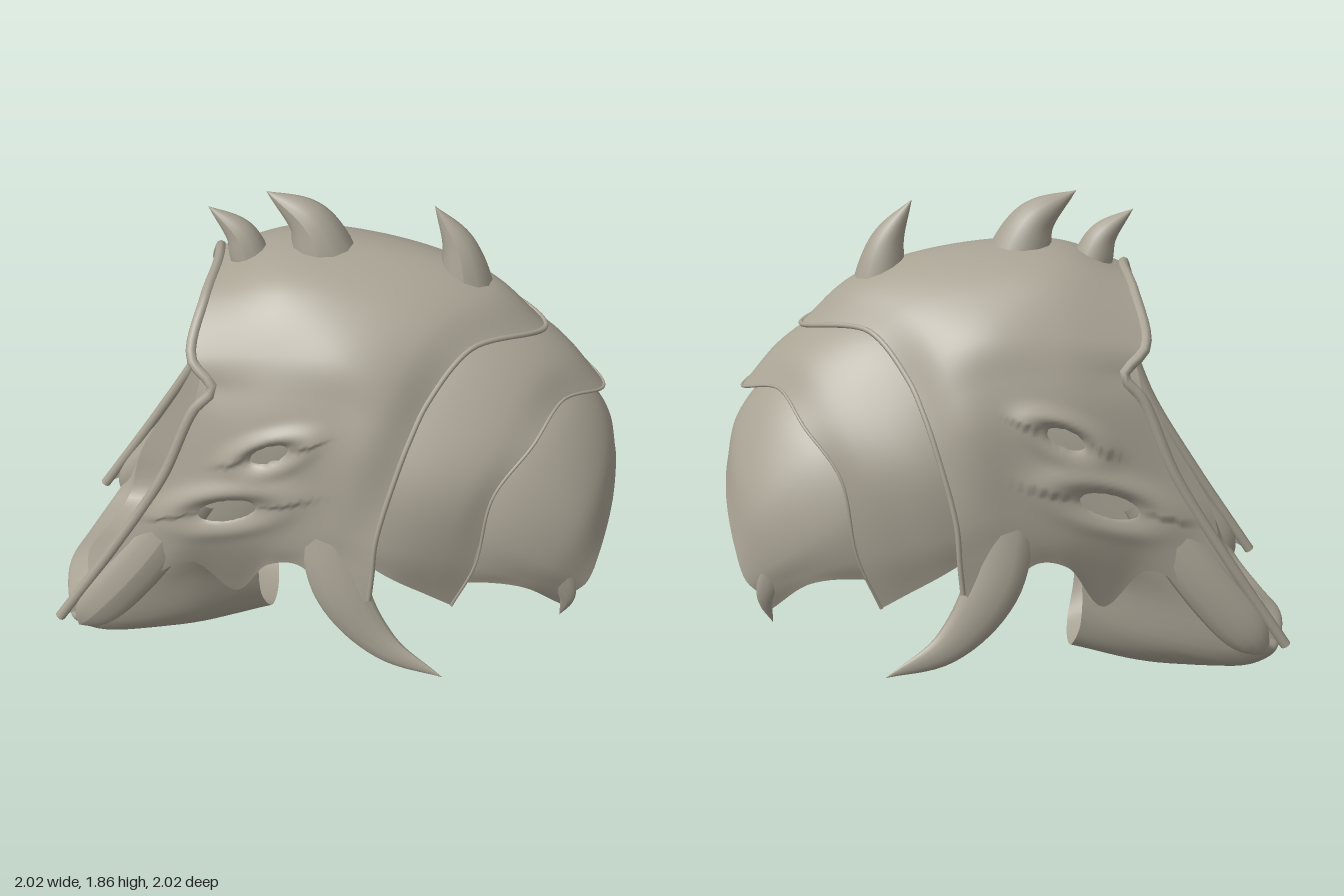
import * as THREE from 'three';

const material = new THREE.MeshStandardMaterial({ color: 0xa9a394, side: THREE.DoubleSide });
const V = (p) => new THREE.Vector3(...p);
const flip = ([x, y, z]) => [-x, y, z];
// Half outline, starting on the centre line, completed by mirroring
const mirrored = (half) => [...half.slice(1).reverse().map(flip), ...half];

function add(group, name, geometry) {
  const mesh = new THREE.Mesh(geometry, material);
  mesh.name = name;
  group.add(mesh);
}

// Symmetric skin over lengthwise curves (centre line first); holes are ellipses in side view
function loft(half, nu, nv, holes = []) {
  const lines = [...half.slice(1).reverse().map((c) => c.map(flip)), ...half]
    .map((c) => new THREE.CatmullRomCurve3(c.map(V)));
  const pos = [], index = [], inside = [];
  for (let j = 0; j <= nv; j++) {
    const cross = new THREE.CatmullRomCurve3(lines.map((l) => l.getPoint(j / nv)));
    for (let i = 0; i <= nu; i++) {
      const p = cross.getPoint(i / nu);
      let cut = false;
      for (const h of holes) {
        const dz = p.z - h.z, dy = p.y - h.y + h.tilt * dz;
        const d = Math.hypot(dz / h.rz, dy / h.ry);
        if (Math.abs(p.x) < 0.3 || d > 4) continue;
        // brow above and sunken skin around the opening
        const brow = dy > 0 ? 0.022 : 0.008;
        p.x += Math.sign(p.x) * (brow * Math.exp(-(((d - 2) / 0.8) ** 2)) - 0.03 * Math.exp(-d * d));
        if (d < 1) {
          cut = true;
          const k = 1 / Math.max(d, 0.05);
          p.z = h.z + dz * k;
          p.y = h.y + dy * k - h.tilt * dz * k;
        }
      }
      inside.push(cut);
      pos.push(p.x, p.y, p.z);
    }
  }
  for (let j = 0; j < nv; j++) for (let i = 0; i < nu; i++) {
    const a = j * (nu + 1) + i, b = a + 1, c = a + nu + 1, d = c + 1;
    if (inside[a] && inside[b] && inside[c] && inside[d]) continue;
    index.push(a, b, c, b, d, c);
  }
  const g = new THREE.BufferGeometry();
  g.setAttribute('position', new THREE.Float32BufferAttribute(pos, 3));
  g.setIndex(index);
  g.computeVertexNormals();
  return g;
}

// Curved spike: a tube narrowed toward its end; larger k makes it blunter
function spike(points, r, k = 1.3, flat = 1, seg = 24, sides = 12) {
  const curve = new THREE.CatmullRomCurve3(points.map(V));
  const g = new THREE.TubeGeometry(curve, seg, r, sides);
  const pos = g.attributes.position, p = new THREE.Vector3();
  for (let i = 0; i < pos.count; i++) {
    const t = Math.floor(i / (sides + 1)) / seg;
    const c = curve.getPointAt(t), s = Math.max(0.01, 1 - t ** k);
    p.fromBufferAttribute(pos, i).sub(c).multiplyScalar(s);
    p.x *= flat;
    p.add(c);
    pos.setXYZ(i, p.x, p.y, p.z);
  }
  g.computeVertexNormals();
  return g;
}

const rim = (half, r) =>
  new THREE.TubeGeometry(new THREE.CatmullRomCurve3(mirrored(half).map(V)), 96, r, 8);
const rear = (shell) => shell.map((c) => c[c.length - 1]);

// Lengthwise curves, front to rear, from the centre line down the side
const HEAD = [
  [[0, 1.56, 0.36], [0, 1.65, 0.13], [0, 1.64, -0.3], [0, 1.53, -0.65], [0, 1.36, -0.84]],
  [[0.2, 1.52, 0.38], [0.24, 1.6, 0.1], [0.25, 1.58, -0.2], [0.26, 1.5, -0.45], [0.27, 1.4, -0.57]],
  [[0.36, 1.36, 0.41], [0.41, 1.42, 0.1], [0.44, 1.42, -0.15], [0.44, 1.36, -0.32], [0.42, 1.26, -0.43]],
  // notch at the corner of the mouth
  [[0.41, 1.27, 0.33], [0.47, 1.29, 0.12], [0.5, 1.28, -0.12], [0.51, 1.24, -0.27], [0.49, 1.16, -0.38]],
  [[0.42, 1.18, 0.4], [0.51, 1.15, 0.15], [0.54, 1.13, -0.08], [0.56, 1.1, -0.22], [0.54, 1.05, -0.34]],
  [[0.44, 0.9, 0.52], [0.52, 0.87, 0.26], [0.55, 0.84, 0], [0.58, 0.8, -0.15], [0.6, 0.78, -0.27]],
  [[0.45, 0.6, 0.7], [0.5, 0.68, 0.39], [0.53, 0.68, 0.1], [0.57, 0.68, -0.1], [0.61, 0.64, -0.26]],
  // lower edge: lip arm, cheek point, root of the tusk
  [[0.45, 0.22, 0.95], [0.46, 0.35, 0.7], [0.47, 0.54, 0.43], [0.41, 0.37, 0.27], [0.5, 0.57, 0.13],
    [0.53, 0.6, 0.02], [0.57, 0.52, -0.1], [0.6, 0.48, -0.19], [0.61, 0.52, -0.25]],
];
const COLLAR = [
  [[0, 1.52, -0.4], [0, 1.4, -0.75], [0, 1.28, -0.93], [0, 1.12, -1.07]],
  [[0.22, 1.45, -0.35], [0.24, 1.38, -0.6], [0.23, 1.28, -0.8], [0.21, 1.17, -0.91]],
  [[0.38, 1.3, -0.25], [0.42, 1.2, -0.5], [0.41, 1.14, -0.68], [0.38, 1.08, -0.81]],
  [[0.5, 1, -0.15], [0.54, 0.97, -0.4], [0.52, 0.94, -0.58], [0.48, 0.92, -0.68]],
  [[0.52, 0.72, -0.15], [0.55, 0.7, -0.35], [0.53, 0.66, -0.5], [0.49, 0.62, -0.63]],
  [[0.52, 0.62, -0.22], [0.52, 0.55, -0.33], [0.49, 0.47, -0.45], [0.46, 0.4, -0.55]],
];
const DOME = [
  [[0, 1.3, -0.75], [0, 1.15, -0.98], [0, 0.99, -1.1], [0, 0.82, -1.14]],
  [[0.2, 1.22, -0.7], [0.22, 1.08, -0.93], [0.2, 0.9, -1.08], [0.18, 0.73, -1.13]],
  [[0.36, 1.08, -0.6], [0.4, 0.95, -0.8], [0.38, 0.76, -1], [0.32, 0.59, -1.09]],
  [[0.46, 0.9, -0.5], [0.49, 0.75, -0.7], [0.45, 0.6, -0.9], [0.37, 0.48, -1.05]],
  [[0.48, 0.65, -0.45], [0.49, 0.6, -0.65], [0.45, 0.53, -0.84], [0.38, 0.43, -1]],
  [[0.46, 0.48, -0.47], [0.47, 0.52, -0.6], [0.45, 0.5, -0.8], [0.36, 0.36, -0.96]],
];
// Scoop that narrows toward the throat, its sides meeting in the palate
const JAW = [
  [[0, 0.2, 0.93], [0, 0.14, 1.01], [0, 0.03, 0.92], [0, 0, 0.5], [0, 0.05, 0.16]],
  [[0.22, 0.19, 0.88], [0.23, 0.14, 0.97], [0.24, 0.06, 0.88], [0.22, 0.04, 0.5], [0.13, 0.08, 0.17]],
  [[0.36, 0.23, 0.83], [0.41, 0.19, 0.9], [0.4, 0.13, 0.8], [0.35, 0.16, 0.5], [0.22, 0.22, 0.2]],
  [[0.38, 0.45, 0.77], [0.41, 0.45, 0.74], [0.42, 0.42, 0.6], [0.37, 0.43, 0.4], [0.26, 0.48, 0.18]],
  [[0.38, 0.8, 0.57], [0.4, 0.8, 0.48], [0.41, 0.78, 0.3], [0.38, 0.76, 0.1], [0.31, 0.75, -0.01]],
  [[0.37, 1.2, 0.4], [0.38, 1.2, 0.27], [0.37, 1.18, 0.1], [0.36, 1.16, -0.05], [0.32, 1.12, -0.16]],
  [[0.22, 1.47, 0.36], [0.24, 1.45, 0.2], [0.24, 1.4, 0.05], [0.23, 1.35, -0.1], [0.2, 1.28, -0.2]],
  [[0.01, 1.54, 0.34], [0.01, 1.51, 0.2], [0.01, 1.46, 0.05], [0.01, 1.4, -0.1], [0.01, 1.33, -0.2]],
];
// Mouth lining, sharing the jaw's front lip and rear edge
const MIDDLE = [[0, 0.15, 0.6], [0.16, 0.17, 0.55], [0.27, 0.27, 0.5], [0.31, 0.45, 0.45],
  [0.3, 0.78, 0.22], [0.31, 1.18, 0.1], [0.2, 1.38, 0.07], [0.01, 1.43, 0.07]];
const LINING = JAW.map((c, i) => [c[0], MIDDLE[i], c[4]]);
const EYES = [
  { z: 0.12, y: 1.07, rz: 0.07, ry: 0.035, tilt: 0.4 },
  { z: 0.28, y: 0.81, rz: 0.11, ry: 0.045, tilt: 0.3 },
];

export function createModel() {
  const model = new THREE.Group();
  const beast = new THREE.Group();
  beast.name = 'beastHead';
  beast.rotation.y = -Math.PI / 4;
  model.add(beast);

  // Overlapping shells
  add(beast, 'headShell', loft(HEAD, 220, 90, EYES));
  add(beast, 'collarShell', loft(COLLAR, 60, 20));
  add(beast, 'rearDome', loft(DOME, 60, 20));
  add(beast, 'headRim', rim(rear(HEAD), 0.01));
  add(beast, 'collarRim', rim(rear(COLLAR), 0.006));
  add(beast, 'lowerJaw', loft(JAW, 80, 36));
  add(beast, 'mouthLining', loft(LINING, 80, 24));
  add(beast, 'upperLip', rim(HEAD.map((c) => c[0]), 0.02));

  // Horns along the crest
  add(beast, 'frontHorn', spike([[0, 1.58, 0.24], [0, 1.68, 0.28], [0, 1.78, 0.39]], 0.075, 1.5));
  add(beast, 'middleHorn', spike([[0, 1.58, -0.04], [0, 1.74, 0.03], [0, 1.85, 0.18]], 0.12, 1.5));
  add(beast, 'rearHorn', spike([[0, 1.48, -0.55], [0, 1.67, -0.51], [0, 1.82, -0.42]], 0.1, 1.5));

  // Paired parts on both sides
  for (const s of [1, -1]) {
    const side = s > 0 ? 'left' : 'right';
    const pair = (name, pts, ...args) =>
      add(beast, side + name, spike(s > 0 ? pts : pts.map(flip), ...args));
    pair('LipArm', [[0.4, 0.8, 0.42], [0.44, 0.5, 0.62], [0.445, 0.18, 0.88]], 0.1, 12, 0.55);
    pair('Tusk', [[0.5, 0.8, -0.1], [0.57, 0.52, -0.15], [0.61, 0.31, -0.31], [0.66, 0.22, -0.53]], 0.12, 2, 0.42);
    pair('RearFang', [[0.4, 0.58, -0.92], [0.385, 0.42, -0.98], [0.35, 0.3, -0.96]], 0.055, 1.5, 0.4);
    pair('InnerTooth', [[0.1, 1.51, 0.34], [0.1, 1.38, 0.33], [0.09, 1.25, 0.29]], 0.055);
    pair('OuterTooth', [[0.25, 1.44, 0.35], [0.25, 1.34, 0.34], [0.22, 1.22, 0.3]], 0.05);
    pair('CornerTooth', [[0.36, 1.32, 0.33], [0.34, 1.27, 0.31], [0.29, 1.21, 0.28]], 0.04);
  }
  return model;
}
